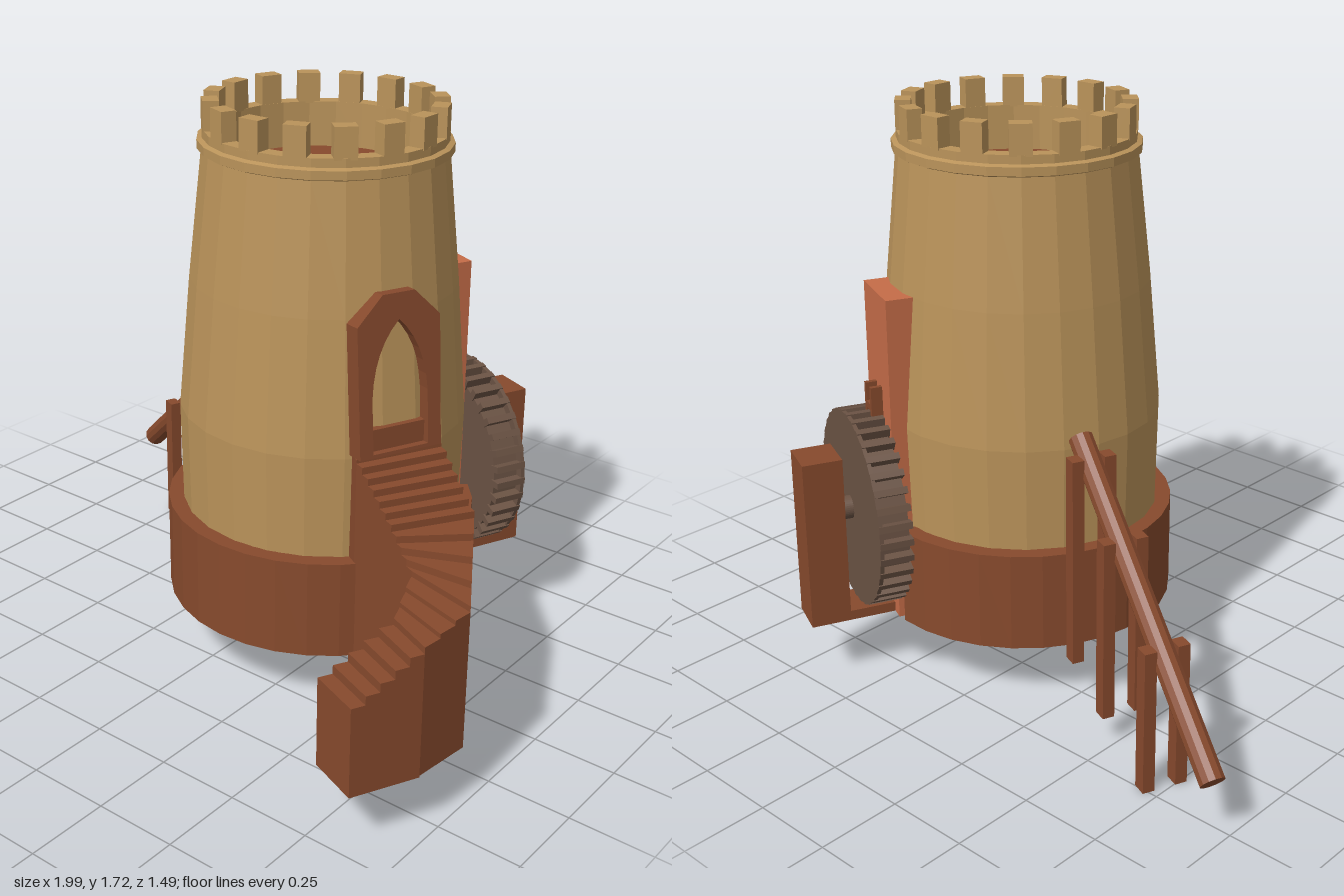
import * as THREE from 'three';

const DEG = Math.PI / 180;
const CX = 0.155, CZ = -0.083; // tower axis

const mat = (name, color) => {
  const m = new THREE.MeshStandardMaterial({ color, flatShading: true, side: THREE.DoubleSide });
  m.name = name;
  return m;
};

export function createModel() {
  const stone = mat('sandstone', 0xba935a);
  const brown = mat('redBrown', 0x874a2d);
  const clay = mat('clay', 0xc56c48);
  const darkWood = mat('darkWood', 0x6b5344);

  const model = new THREE.Group();
  model.name = 'towerMill';
  const add = (parent, name, geo, material, x = 0, y = 0, z = 0) => {
    const m = new THREE.Mesh(geo, material);
    m.name = name;
    m.position.set(x, y, z);
    parent.add(m);
    return m;
  };
  const group = (name, x, z, turn = 0) => {
    const g = new THREE.Group();
    g.name = name;
    g.position.set(x, 0, z);
    g.rotation.y = turn;
    model.add(g);
    return g;
  };
  const lathe = (pts, n, start = 0, len = Math.PI * 2) =>
    new THREE.LatheGeometry(pts.map(p => new THREE.Vector2(...p)), n, start, len);
  const box = (w, h, d) => new THREE.BoxGeometry(w, h, d);

  // Tapered tower wall with band and parapet
  const tower = group('tower', CX, CZ);
  tower.scale.z = 0.96;
  add(tower, 'towerWall', lathe([
    [0.425, 0.46], [0.432, 0.8], [0.398, 1.2], [0.358, 1.575], [0.37, 1.58], [0.37, 1.605],
    [0.355, 1.61], [0.355, 1.635], [0.308, 1.635], [0.308, 1.5],
  ], 24), stone);
  add(tower, 'roofFloor', new THREE.CircleGeometry(0.312, 24).rotateX(-Math.PI / 2), brown, 0, 1.5, 0);

  // Battlements
  const merlons = 16;
  for (let i = 0; i < merlons; i++) {
    const a = (i / merlons) * Math.PI * 2;
    const m = add(tower, 'merlon', box(0.065, 0.09, 0.047), stone,
      Math.sin(a) * 0.33, 1.675, Math.cos(a) * 0.33);
    m.rotation.y = a;
  }

  // Base ring, open where the chute stands
  const base = group('base', CX, CZ);
  base.scale.z = 0.97;
  add(base, 'baseRing', lathe([
    [0.43, 0.19], [0.47, 0.19], [0.47, 0.49], [0.42, 0.49], [0.43, 0.19],
  ], 28, 173 * DEG, 323 * DEG), brown);

  // Pointed doorway
  const door = group('doorway', CX, CZ, 66 * DEG);
  const frame = new THREE.Shape();
  [[-0.13, 0], [0.13, 0], [0.13, 0.38], [0.05, 0.46], [-0.05, 0.46], [-0.13, 0.38]]
    .forEach(([x, y], i) => (i ? frame.lineTo(x, y) : frame.moveTo(x, y)));
  const opening = new THREE.Path();
  opening.moveTo(-0.088, 0.01);
  opening.lineTo(-0.088, 0.17);
  opening.quadraticCurveTo(-0.08, 0.31, 0, 0.385);
  opening.quadraticCurveTo(0.08, 0.31, 0.088, 0.17);
  opening.lineTo(0.088, 0.01);
  opening.closePath();
  frame.holes.push(opening);
  const arch = add(door, 'doorFrame',
    new THREE.ExtrudeGeometry(frame, { depth: 0.085, bevelEnabled: false, curveSegments: 6 }),
    brown, 0, 0.81, 0.375);
  arch.rotation.x = -5 * DEG;
  add(door, 'doorSill', box(0.18, 0.08, 0.06), brown, 0, 0.85, 0.405);

  // Winding stairs: outer edge, inner edge, height, steps to the next station
  const stations = [
    [0.62, -0.03, 0.5, 0.21, 0.81, 6],
    [0.8, 0.07, 0.67, 0.28, 0.685, 4],
    [0.99, 0.38, 0.77, 0.325, 0.6, 3],
    [0.97, 0.555, 0.83, 0.49, 0.56, 5],
    [0.88, 0.74, 0.73, 0.68, 0.43, 0],
  ];
  const stairs = group('stairs', 0, 0);
  const block = (name, pts, y0, y1) => {
    const s = new THREE.Shape(pts.map(([x, z]) => new THREE.Vector2(x, -z)));
    const g = new THREE.ExtrudeGeometry(s, { depth: y1 - y0, bevelEnabled: false });
    add(stairs, name, g.rotateX(-Math.PI / 2), brown, 0, y0, 0);
  };
  block('doorLanding', [[0.62, -0.03], [0.55, -0.06], [0.45, 0.18], [0.5, 0.21]], 0.19, 0.81);
  for (let s = 0; s < stations.length - 1; s++) {
    const A = stations[s], B = stations[s + 1], n = A[5];
    for (let i = 0; i < n; i++) {
      const at = t => A.map((v, k) => v + (B[k] - v) * t);
      const p = at(i / n), q = at((i + 1) / n);
      block('step', [[p[0], p[1]], [q[0], q[1]], [q[2], q[3]], [p[2], p[3]]],
        0.19 - 0.005 * s, at((i + 0.5) / n)[4]);
    }
  }

  // Water wheel and chute; local z points away from the tower
  const mill = group('waterMill', CX, CZ, 156 * DEG);
  add(mill, 'chute', box(0.21, 1.01, 0.115), clay, 0, 0.695, 0.388);
  for (const x of [-0.025, 0.025]) add(mill, 'spoutSide', box(0.015, 0.09, 0.04), brown, x, 0.87, 0.46);
  add(mill, 'spoutFloor', box(0.05, 0.02, 0.04), brown, 0, 0.85, 0.46);
  add(mill, 'footBeam', box(0.13, 0.03, 0.27), brown, 0, 0.205, 0.57);
  add(mill, 'wheelPost', box(0.13, 0.53, 0.12), brown, 0, 0.455, 0.645);
  const wheel = new THREE.Group();
  wheel.name = 'waterWheel';
  wheel.position.set(0, 0.535, 0.5);
  mill.add(wheel);
  const disc = (r, d) => new THREE.CylinderGeometry(r, r, d, 36).rotateX(Math.PI / 2);
  add(wheel, 'wheelDrum', disc(0.272, 0.09), darkWood);
  add(wheel, 'wheelFace', disc(0.296, 0.012), darkWood, 0, 0, 0.044);
  add(wheel, 'axle', disc(0.035, 0.18), darkWood, 0, 0, 0.03);
  for (let i = 0; i < 36; i++) {
    const a = (i / 36) * Math.PI * 2;
    const p = add(wheel, 'paddle', box(0.035, 0.02, 0.1), darkWood,
      Math.cos(a) * 0.281, Math.sin(a) * 0.281, 0);
    p.rotation.z = a;
  }

  // Sloping pipe on paired posts
  const low = new THREE.Vector3(-0.975, 0.178, -0.55), high = new THREE.Vector3(-0.24, 0.83, -0.245);
  const dir = high.clone().sub(low);
  const pipe = add(model, 'pipe', new THREE.CylinderGeometry(0.036, 0.036, dir.length(), 12), brown);
  pipe.position.copy(low).addScaledVector(dir, 0.5);
  pipe.quaternion.setFromUnitVectors(new THREE.Vector3(0, 1, 0), dir.clone().normalize());
  const turn = -Math.atan2(dir.z, dir.x);
  for (const [x, bottom] of [[-0.72, 0], [-0.49, 0.09], [-0.305, 0.16]]) {
    const p = low.clone().addScaledVector(dir, (x - low.x) / dir.x);
    const pair = group('pipePosts', p.x, p.z, turn);
    const h = p.y + 0.03 - bottom;
    for (const side of [-1, 1])
      add(pair, 'pipePost', box(0.045, h, 0.036), brown, 0, bottom + h / 2, side * 0.05);
  }

  return model;
}
